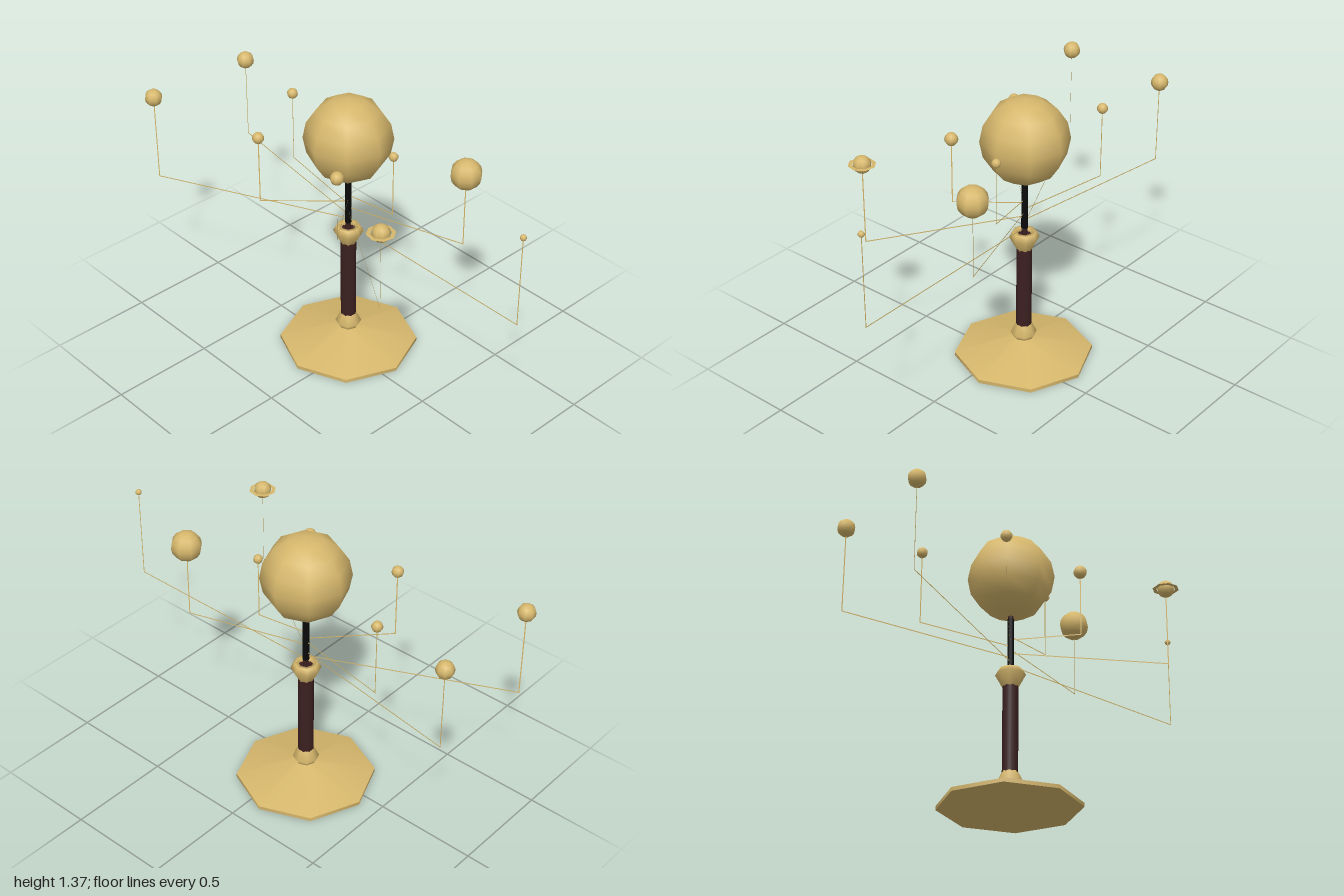
import * as THREE from 'three';

const AXIS_X = 0.065, AXIS_Z = -0.075, BALL_Y = 1.158, SIDES = 8;

export function createModel() {
  const brass = new THREE.MeshStandardMaterial({ color: 0xd6b76c, side: THREE.DoubleSide });
  brass.name = 'brass';
  const wood = new THREE.MeshStandardMaterial({ color: 0x3c2020 });
  wood.name = 'dark wood';
  const black = new THREE.MeshStandardMaterial({ color: 0x0b0a0a });
  black.name = 'black metal';

  const model = new THREE.Group();
  model.name = 'orrery';
  // everything turns around the central column
  const column = new THREE.Group();
  column.name = 'column';
  column.position.set(AXIS_X, 0, AXIS_Z);
  model.add(column);

  const add = (parent, name, geometry, material, x = 0, y = 0, z = 0) => {
    const mesh = new THREE.Mesh(geometry, material);
    mesh.name = name;
    mesh.position.set(x, y, z);
    parent.add(mesh);
    return mesh;
  };
  const lathe = (points) =>
    new THREE.LatheGeometry(points.map(([r, y]) => new THREE.Vector2(r, y)), SIDES);
  const rod = (name, r, y0, y1, material, sides) =>
    add(column, name, new THREE.CylinderGeometry(r, r, y1 - y0, sides), material, 0, (y0 + y1) / 2);

  // octagonal foot: underside, rim and sloping top
  add(column, 'footRim', new THREE.CylinderGeometry(0.333, 0.333, 0.018, SIDES), brass, 0, 0.009);
  add(column, 'footSlope', lathe([[0.333, 0.018], [0.05, 0.097]]), brass);

  // turned collars and the wooden post between them
  add(column, 'lowerCollar', lathe([[0.048, 0.095], [0.063, 0.12], [0.038, 0.172]]), brass);
  rod('post', 0.037, 0.09, 0.662, wood, 16);
  add(column, 'upperCollar',
    lathe([[0.037, 0.588], [0.072, 0.653], [0.056, 0.68], [0.036, 0.68], [0.036, 0.655]]), brass);

  // spindle with the black sleeve that carries the arms
  rod('spindle', 0.013, 0.65, 0.98, wood, 12);
  rod('sleeve', 0.0155, 0.7, 0.94, black, 12);

  // central ball
  add(column, 'sun', new THREE.SphereGeometry(0.207, 8, 8), brass, 0, BALL_Y);

  // orbiting balls: x, z, radius, arm height
  const orbits = [
    [0.105, 0.175, 0.022, 0.85],
    [-0.195, 0.13, 0.032, 0.833],
    [-0.23, -0.355, 0.028, 0.817],
    [0.145, -0.545, 0.026, 0.8],
    [0.24, 0.49, 0.073, 0.783],
    [-0.34, 0.555, 0.042, 0.763],
    [0.19, -0.94, 0.042, 0.742],
    [-0.355, -0.96, 0.042, 0.72],
    [0.065, 0.98, 0.015, 0.7],
  ];
  const W = 0.005; // width of the flat arm strips
  orbits.forEach(([x, z, radius, armY], i) => {
    const dx = x - AXIS_X, dz = z - AXIS_Z, reach = Math.hypot(dx, dz);
    const arm = new THREE.Group();
    arm.name = 'orbit' + (i + 1);
    arm.rotation.y = Math.atan2(-dz, dx); // local +x points outwards
    column.add(arm);
    // flat strips, edge-on from above
    add(arm, 'arm', new THREE.PlaneGeometry(reach + W / 2, W), brass, reach / 2 + W / 4, armY);
    add(arm, 'upright', new THREE.PlaneGeometry(W, BALL_Y - armY), brass, reach, (armY + BALL_Y) / 2);
    add(arm, 'planet', new THREE.SphereGeometry(radius, 8, 8), brass, reach, BALL_Y);
    if (i === 5) {
      const ring = add(arm, 'planetRing', new THREE.RingGeometry(0.046, 0.064, 8), brass, reach, BALL_Y);
      ring.rotation.x = -Math.PI / 2;
    }
  });
  return model;
}
